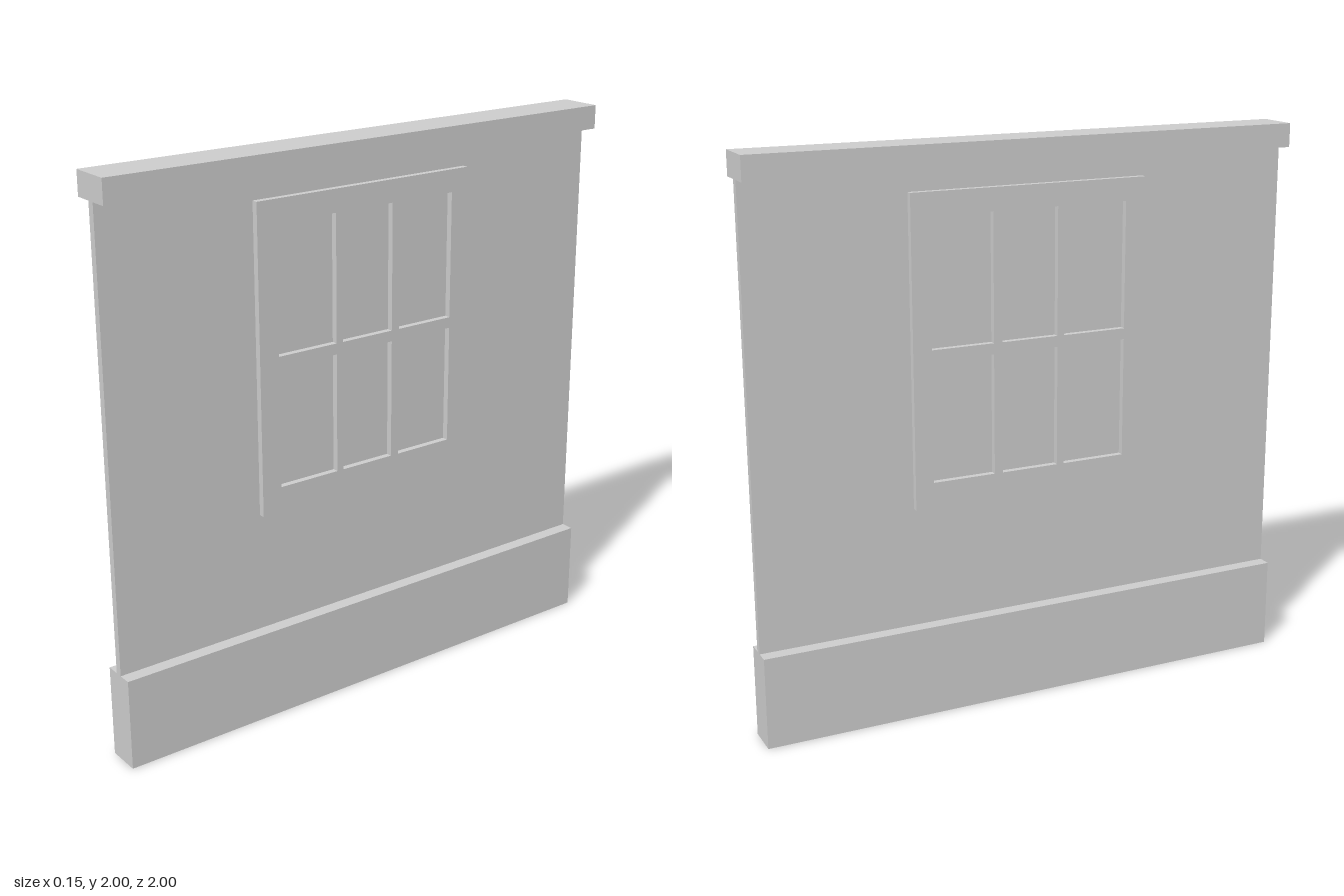
import * as THREE from 'three';

export function createModel() {
  const group = new THREE.Group();
  group.name = 'wallPanel';
  const grey = new THREE.MeshStandardMaterial({ color: 0xcccccc });
  grey.name = 'plainGrey';

  const add = (name, geometry) => {
    const mesh = new THREE.Mesh(geometry, grey);
    mesh.name = name;
    group.add(mesh);
    return mesh;
  };
  // full-length slab between two heights
  const slab = (name, width, y0, y1) => {
    add(name, new THREE.BoxGeometry(width, y1 - y0, 2)).position.y = (y0 + y1) / 2;
  };
  const rect = (path, z0, z1, y0, y1) =>
    path.moveTo(z0, y0).lineTo(z1, y0).lineTo(z1, y1).lineTo(z0, y1).closePath();

  slab('skirting', 0.122, 0, 0.329);
  slab('wall', 0.026, 0.329, 1.916);
  slab('cornice', 0.154, 1.916, 2);

  // window frame with six panes, standing proud on both faces of the wall
  const frame = new THREE.Shape();
  rect(frame, -0.434, 0.438, 0.757, 1.842);
  const columns = [[-0.367, -0.139], [-0.108, 0.102], [0.128, 0.364]];
  const rows = [[0.848, 1.274], [1.313, 1.762]];
  for (const [z0, z1] of columns) {
    for (const [y0, y1] of rows) {
      const pane = new THREE.Path();
      rect(pane, z0, z1, y0, y1);
      frame.holes.push(pane);
    }
  }
  const depth = 0.071;
  const geometry = new THREE.ExtrudeGeometry(frame, { depth, bevelEnabled: false });
  geometry.translate(0, 0, -depth / 2).rotateY(-Math.PI / 2);
  add('windowFrame', geometry);

  return group;
}
